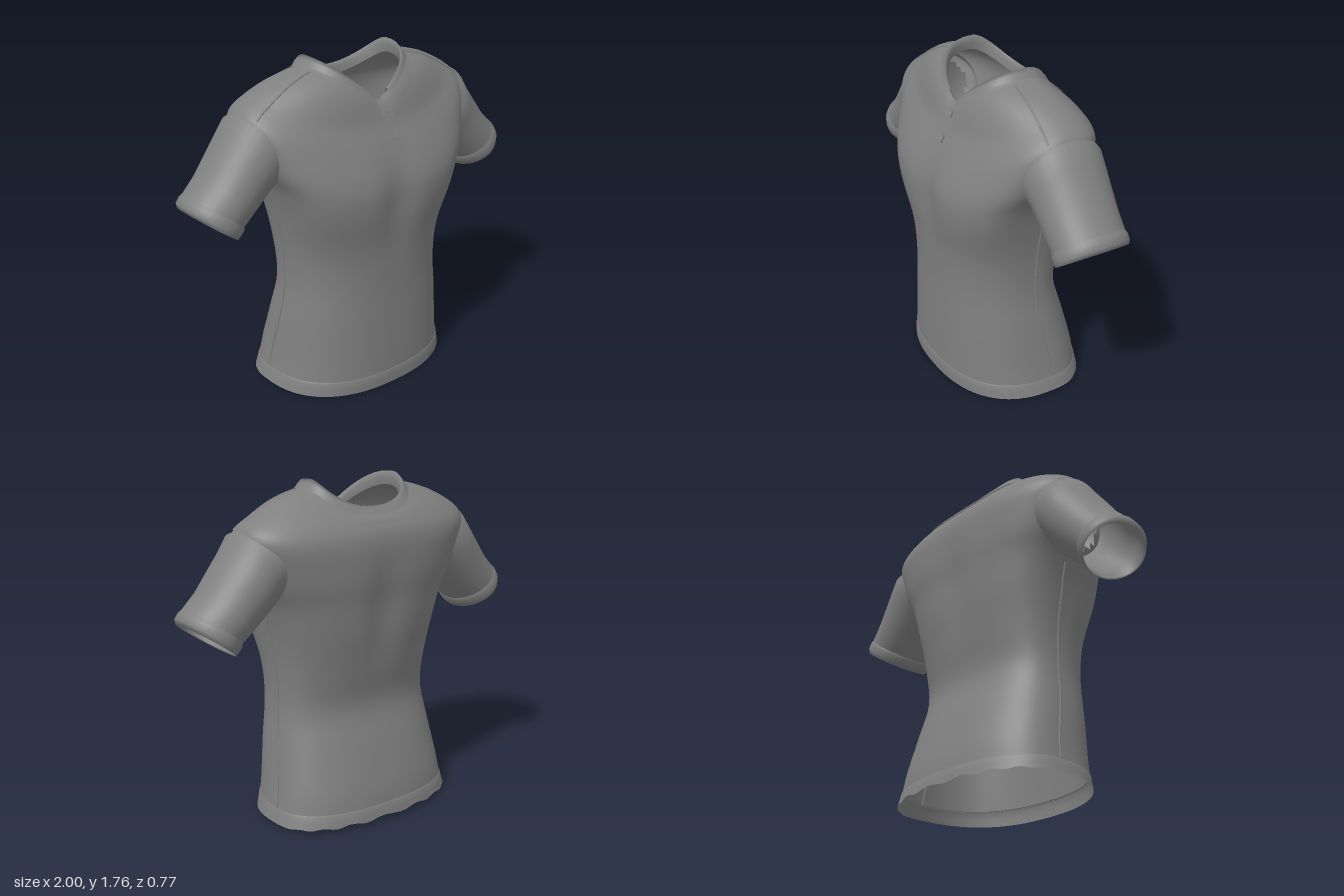
import * as THREE from 'three';

const fabric = new THREE.MeshStandardMaterial({ color: 0x808080, side: THREE.DoubleSide });
fabric.name = 'grey fabric';

// Body rings: side x, y, z; front y, z; back y, z
const BODY = [
  [0.522, 0.09, -0.07, 0.085, 0.358, 0.09, -0.368],
  [0.505, 0.2, -0.06, 0.2, 0.358, 0.2, -0.35],
  [0.478, 0.4, -0.02, 0.4, 0.355, 0.4, -0.295],
  [0.452, 0.6, 0, 0.6, 0.352, 0.6, -0.238],
  [0.458, 0.8, 0, 0.8, 0.362, 0.8, -0.268],
  [0.49, 1.0, 0, 0.98, 0.388, 1.0, -0.305],
  [0.535, 1.16, -0.01, 1.11, 0.394, 1.16, -0.322],
  [0.6, 1.28, -0.02, 1.2, 0.375, 1.27, -0.335],
  [0.65, 1.4, -0.03, 1.28, 0.342, 1.37, -0.338],
  [0.68, 1.5, -0.04, 1.35, 0.308, 1.44, -0.335],
  [0.66, 1.56, -0.04, 1.4, 0.282, 1.49, -0.326],
  [0.58, 1.615, -0.04, 1.44, 0.263, 1.52, -0.315],
  [0.48, 1.662, -0.04, 1.48, 0.245, 1.545, -0.3],
  [0.38, 1.693, -0.04, 1.515, 0.225, 1.568, -0.28],
  [0.285, 1.715, -0.04, 1.545, 0.2, 1.59, -0.245],
];
const LAST = BODY.length - 1;

// Smooth row between the listed rings
function bodyRow(v) {
  const i = Math.min(Math.floor(v), LAST - 1), f = v - i;
  const at = (k) => BODY[Math.min(Math.max(k, 0), LAST)];
  return at(i).map((p1, k) => {
    const p0 = at(i - 1)[k], p2 = at(i + 1)[k], p3 = at(i + 2)[k];
    return p1 + 0.5 * f * (p2 - p0 + f * (2 * p0 - 5 * p1 + 4 * p2 - p3 + f * (3 * (p1 - p2) + p3 - p0)));
  });
}

// Point on a ring; angle 0 is the front, PI / 2 the left side
function ringPoint([sx, sy, sz, fy, fz, by, bz], t) {
  const s = Math.sin(t), c = Math.cos(t), ac = Math.abs(c), front = c > 0;
  const across = Math.pow(Math.abs(s), 0.85);
  const x = sx * Math.sign(s) * across;
  // The front neckline runs down in a straight V
  const vee = front ? THREE.MathUtils.smoothstep(sy, 1.6, 1.71) : 0;
  const w = THREE.MathUtils.lerp(Math.pow(ac, 1.4), 1 - across, vee);
  const y = sy + ((front ? fy : by) - sy) * w;
  // Broad chest with a shallow groove down the middle
  const chest = Math.exp(-(((fy - 1.08) / 0.22) ** 2));
  const groove = 1 - 0.08 * Math.exp(-((x / 0.1) ** 2)) * chest;
  const z = sz + ((front ? fz : bz) - sz) * Math.pow(ac, 0.8 - (front ? 0.35 : 0.1) * chest) * groove;
  return new THREE.Vector3(x, y, z);
}

// Point on the body, lifted outward by d
function bodyPoint(v, t, d = 0) {
  const p = ringPoint(bodyRow(v), t);
  return p.add(new THREE.Vector3(Math.sin(t) * d, v > 9 ? d * 0.7 : 0, Math.cos(t) * d));
}

// Skin a list of rings
function loft(name, rings, closed = true, skip = () => false) {
  const n = rings[0].length, index = [], mid = new THREE.Vector3();
  for (let i = 0; i < rings.length - 1; i++) {
    for (let j = 0; j < (closed ? n : n - 1); j++) {
      const k = (j + 1) % n;
      mid.addVectors(rings[i][j], rings[i + 1][k]).multiplyScalar(0.5);
      if (skip(mid)) continue;
      const a = i * n + j, b = i * n + k;
      index.push(a, b, b + n, a, b + n, a + n);
    }
  }
  const g = new THREE.BufferGeometry().setFromPoints(rings.flat());
  g.setIndex(index);
  g.computeVertexNormals();
  const mesh = new THREE.Mesh(g, fabric);
  mesh.name = name;
  return mesh;
}

const range = (n, a, b) => Array.from({ length: n }, (_, i) => a + ((b - a) * i) / (n - 1));
const AROUND = range(97, 0, Math.PI * 2).slice(0, 96);

// Armhole test, so the body stays open into the sleeves
function inArmhole(p) {
  const x = Math.abs(p.x) - 0.612, y = p.y - 1.36;
  const along = 0.91 * x - 0.41 * y, up = 0.41 * x + 0.91 * y;
  return along > -0.03 && (up / 0.16) ** 2 + ((p.z + 0.025) / 0.17) ** 2 < 1;
}

// Sleeve rings: top x, y; bottom x, y; front z, back z
const SLEEVE = [
  [0.6, 1.565, 0.47, 1.23, 0.16, -0.23],
  [0.69, 1.54, 0.53, 1.185, 0.188, -0.24],
  [0.75, 1.46, 0.57, 1.145, 0.172, -0.233],
  [0.815, 1.375, 0.615, 1.105, 0.167, -0.224],
  [0.885, 1.28, 0.668, 1.058, 0.165, -0.216],
  [0.968, 1.198, 0.722, 1.01, 0.163, -0.207],
];
const CUFF = [
  [0.96, 1.206, 0.717, 1.014, 0.163, -0.207],
  [0.98, 1.192, 0.719, 0.999, 0.17, -0.214],
  [1.0, 1.165, 0.737, 0.978, 0.17, -0.214],
  [0.993, 1.138, 0.757, 0.962, 0.166, -0.21],
  [0.982, 1.142, 0.76, 0.97, 0.159, -0.203],
  [0.958, 1.19, 0.73, 1.012, 0.158, -0.202],
];
function sleeveRings(rows, side) {
  return rows.map(([tx, ty, bx, by, fz, bz]) => {
    const ring = range(41, 0, Math.PI * 2).slice(0, 40).map((a) => {
      const c = Math.cos(a) / 2, s = Math.sin(a) / 2;
      return new THREE.Vector3(
        side * ((tx + bx) / 2 + (tx - bx) * c), (ty + by) / 2 + (ty - by) * c, (fz + bz) / 2 + (fz - bz) * s);
    });
    return side > 0 ? ring : ring.reverse();
  });
}

function seam(name, points) {
  const mesh = new THREE.Mesh(
    new THREE.TubeGeometry(new THREE.CatmullRomCurve3(points), 40, 0.006, 6), fabric);
  mesh.name = name;
  return mesh;
}

export function createModel() {
  const shirt = new THREE.Group();
  shirt.name = 'shortSleeveShirt';

  // Body
  const bodyRings = range(LAST * 4 + 1, 0, LAST).map((v) => AROUND.map((t) => bodyPoint(v, t)));
  shirt.add(loft('body', bodyRings, true, inArmhole));

  // Hem band with a slightly wavy back edge
  const hem = [
    [0.545, 0.022, -0.075, 0.004, 0.362, 0.028, -0.385],
    [0.535, 0.055, -0.073, 0.045, 0.364, 0.055, -0.38],
    [0.527, 0.088, -0.07, 0.08, 0.363, 0.088, -0.374],
    [0.52, 0.096, -0.07, 0.09, 0.355, 0.096, -0.365],
  ].map((row, i) => AROUND.map((t) => {
    const p = ringPoint(row, t);
    if (i === 0 && Math.cos(t) < 0) p.y += 0.008 * Math.sin(t * 18) * Math.cos(t);
    return p;
  }));
  shirt.add(loft('hemBand', hem));

  // Sleeves, cuffs and seams
  for (const side of [1, -1]) {
    const label = side > 0 ? 'left' : 'right';
    shirt.add(loft(label + 'Sleeve', sleeveRings(SLEEVE, side)));
    shirt.add(loft(label + 'Cuff', sleeveRings(CUFF, side)));
    shirt.add(seam(label + 'SideSeam', range(12, 0.1, 5.9).map((v) => bodyPoint(v, side * Math.PI / 2))));
    shirt.add(seam(label + 'ShoulderSeam', range(8, 10, 13.6).map((v) => bodyPoint(v, side * 1.3))));
  }

  // Folded collar: stand, fold and fall, open at the front with pointed tips
  const collarAngles = range(81, 0.15, Math.PI * 2 - 0.15);
  const stand = [
    [0.262, 1.69, -0.03, 1.51, 0.185, 1.57, -0.208],
    [0.258, 1.725, -0.04, 1.53, 0.188, 1.605, -0.212],
    [0.264, 1.762, -0.05, 1.548, 0.198, 1.63, -0.22],
    [0.278, 1.745, -0.05, 1.55, 0.208, 1.622, -0.235],
  ].map((row) => collarAngles.map((t) => ringPoint(row, t)));
  const fall = range(6, 0.05, 1).map((f) => collarAngles.map((t) => {
    const c = Math.cos(t);
    const drop = 0.3 + (c > 0 ? 1.75 * c ** 5 : 1.6 * c ** 2);
    return bodyPoint(LAST - drop * f, t, 0.009 - 0.004 * f);
  }));
  shirt.add(loft('collar', [...stand, ...fall].reverse(), false));

  // Placket strip and buttons
  const strip = range(16, 8.3, LAST).map((v) => range(4, -0.015, 0.06).map((x) => {
    const p = bodyPoint(v, 0, 0.003);
    p.x = x;
    return p;
  }));
  shirt.add(loft('placket', strip, false));
  for (const v of [9.5, 12.5]) {
    const button = new THREE.Mesh(new THREE.BoxGeometry(0.036, 0.04, 0.012), fabric);
    button.name = 'button';
    button.position.copy(bodyPoint(v, 0, 0.006)).setX(0.025);
    button.rotation.x = -0.5;
    shirt.add(button);
  }
  return shirt;
}
